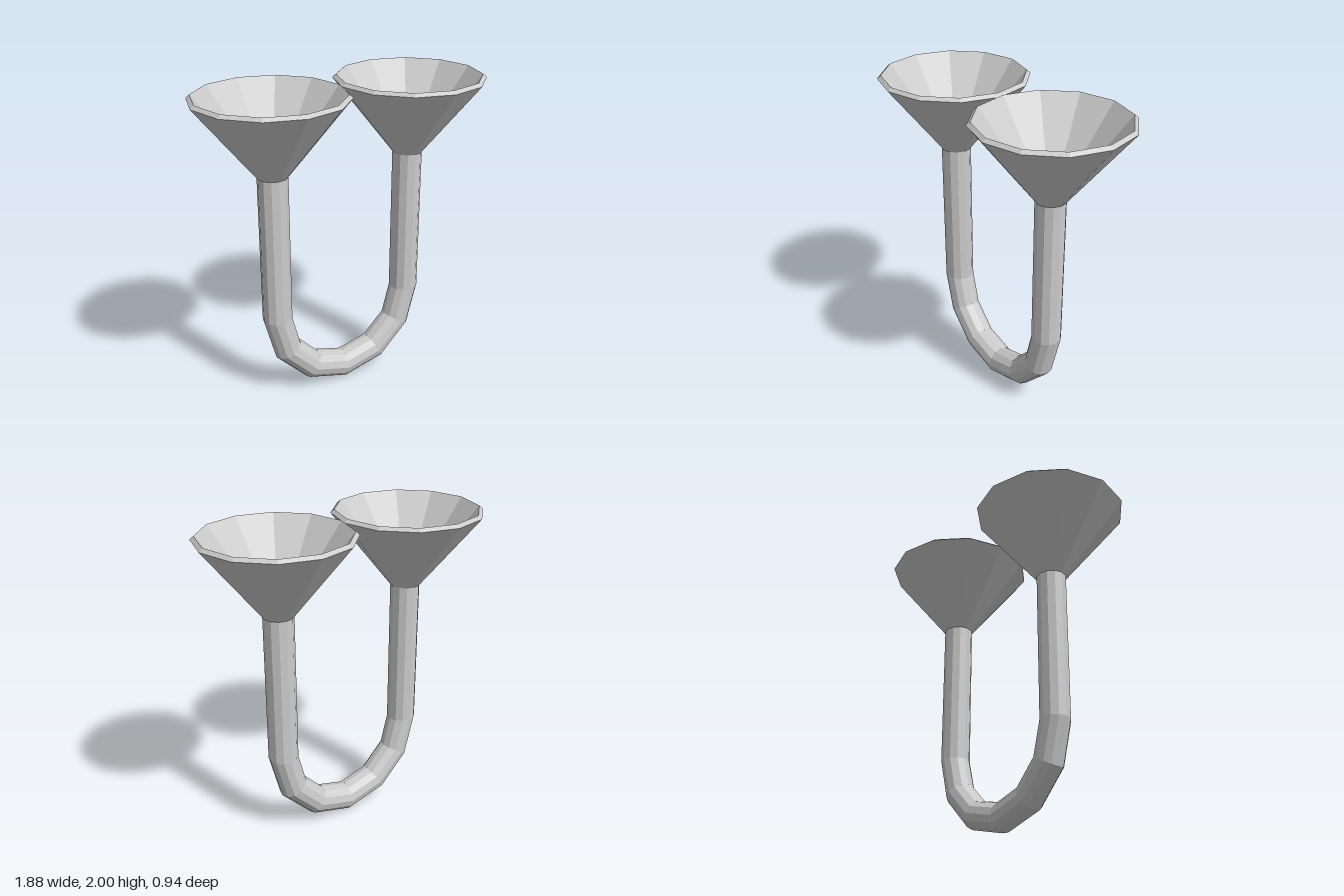
import * as THREE from 'three';

const SIDES = 12;
const BEND = 0.47;        // bend radius, also the offset of each arm
const BEND_Y = 0.565;     // height where the bend begins
const OUTER = 0.093, INNER = 0.063;

// Sweeps a ring down one arm, round the bend and up the other arm.
function pipeSkin(radius, topY, inward) {
  const rings = [];
  for (let i = 0; i <= 6; i++) {
    const a = Math.PI * (1 + i / 6);
    rings.push({ x: BEND * Math.cos(a), y: BEND_Y + BEND * Math.sin(a), ox: Math.cos(a), oy: Math.sin(a) });
  }
  rings.unshift({ x: -BEND, y: topY, ox: -1, oy: 0 });
  rings.push({ x: BEND, y: topY, ox: 1, oy: 0 });

  const pos = [], index = [];
  rings.forEach((r, k) => {
    for (let j = 0; j < SIDES; j++) {
      const t = (j / SIDES) * Math.PI * 2;
      const c = radius * Math.cos(t);
      pos.push(r.x + c * r.ox, r.y + c * r.oy, radius * Math.sin(t));
      if (k === rings.length - 1) continue;
      const p = k * SIDES + j, q = k * SIDES + (j + 1) % SIDES;
      const p2 = p + SIDES, q2 = q + SIDES;
      if (inward) index.push(p, q, p2, q, q2, p2);
      else index.push(p, p2, q, q, p2, q2);
    }
  });
  const g = new THREE.BufferGeometry();
  g.setAttribute('position', new THREE.Float32BufferAttribute(pos, 3));
  g.setIndex(index);
  g.computeVertexNormals();
  return g;
}

export function createModel() {
  const model = new THREE.Group();
  const material = new THREE.MeshStandardMaterial({ color: 0xcccccc, flatShading: true });
  const add = (name, geometry, x = 0) => {
    const mesh = new THREE.Mesh(geometry, material);
    mesh.name = name;
    mesh.position.x = x;
    model.add(mesh);
  };

  // Hollow U-shaped pipe
  add('pipeOutside', pipeSkin(OUTER, 1.51, false));
  add('pipeInside', pipeSkin(INNER, 1.525, true));

  // Funnels: outer cone, bevelled rim, inner cone
  const profile = [[OUTER, 1.51], [0.47, 1.98], [0.447, 2], [INNER, 1.525]]
    .map(([r, y]) => new THREE.Vector2(r, y));
  const funnel = new THREE.LatheGeometry(profile, SIDES);
  add('leftFunnel', funnel, BEND);
  add('rightFunnel', funnel, -BEND);

  return model;
}
